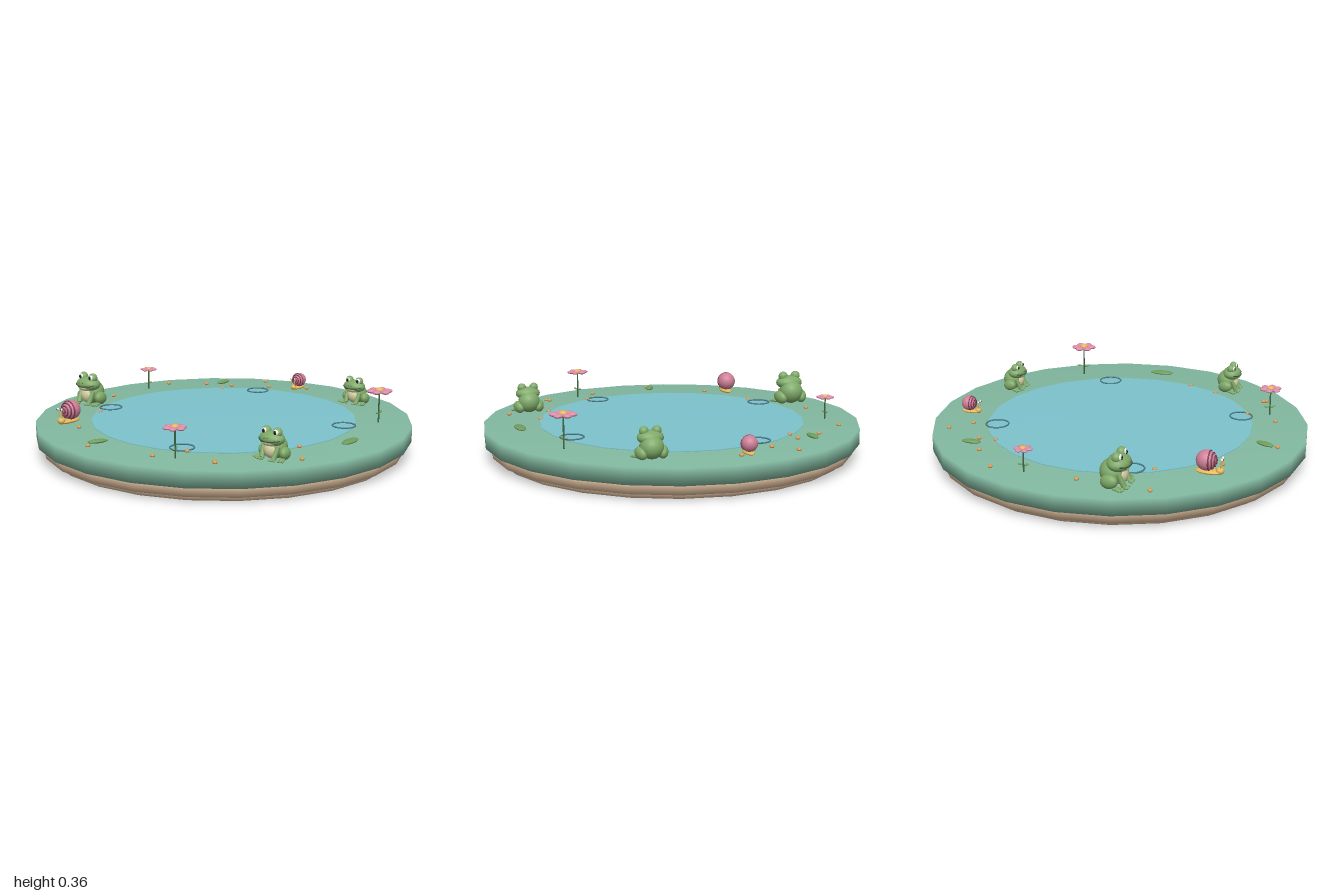
import * as THREE from 'three';
import { mergeVertices } from 'three/addons/utils/BufferGeometryUtils.js';

const paint = (color) => new THREE.MeshStandardMaterial({ color });
const M = {
  rim: paint(0x82b8a0), water: paint(0x7cc2cc), clay: paint(0xdcbc9c), frog: paint(0x7ea968),
  belly: paint(0xd5d3a4), white: paint(0xf4f2ea), black: paint(0x1c1c20), mouth: paint(0x35502f),
  petal: paint(0xdb8ca6), yellow: paint(0xe6b85a), stem: paint(0x3f6644), leaf: paint(0x6f9d5c),
  shell: paint(0xcf7f98), swirl: paint(0x7c3a52), pebble: paint(0xd59a55), ripple: paint(0x4d7f8c),
};
const TOP = 0.168;
const ball = new THREE.SphereGeometry(1, 18, 12);

function add(parent, name, geo, mat, pos = [0, 0, 0], rot = [0, 0, 0], scale = [1, 1, 1]) {
  const m = new THREE.Mesh(geo, mat);
  m.name = name;
  m.position.set(...pos);
  m.rotation.set(...rot);
  m.scale.set(...scale);
  parent.add(m);
  return m;
}
const blob = (parent, name, mat, pos, radii, rot) => add(parent, name, ball, mat, pos, rot, radii);

// Rod between two points
function rod(parent, name, mat, a, b, r0, r1 = r0) {
  const p = new THREE.Vector3(...a), q = new THREE.Vector3(...b), d = q.clone().sub(p);
  const m = add(parent, name, new THREE.CylinderGeometry(r1, r0, d.length(), 10), mat);
  m.position.copy(p).add(q).multiplyScalar(0.5);
  m.quaternion.setFromUnitVectors(new THREE.Vector3(0, 1, 0), d.normalize());
}

// 24-sided disc with normals blended over its rim
function disc(parent, name, mat, r, y0, y1) {
  const g = new THREE.CylinderGeometry(r, r, y1 - y0, 24);
  g.deleteAttribute('normal');
  g.deleteAttribute('uv');
  const s = mergeVertices(g);
  s.computeVertexNormals();
  add(parent, name, s, mat, [0, (y0 + y1) / 2, 0]);
}

function place(root, name, x, z, size, turn = 0) {
  const g = new THREE.Group();
  g.name = name;
  g.position.set(x, TOP, z);
  g.rotation.y = turn;
  g.scale.setScalar(size);
  root.add(g);
  return g;
}

// Sitting frog, one unit tall, facing +z
function frog(root, x, z, size) {
  const g = place(root, 'frog', x, z, size);
  blob(g, 'body', M.frog, [0, 0.36, -0.07], [0.38, 0.37, 0.36], [-0.3, 0, 0]);
  blob(g, 'belly', M.belly, [0, 0.3, 0.1], [0.26, 0.28, 0.25]);
  blob(g, 'head', M.frog, [0, 0.64, 0.1], [0.43, 0.23, 0.33]);
  blob(g, 'chin', M.belly, [0, 0.55, 0.18], [0.3, 0.13, 0.23]);
  // Wide smile wrapped around the head
  const smile = [];
  for (let i = 0; i <= 10; i++) {
    const a = (i / 10 - 0.5) * 2.3;
    smile.push(new THREE.Vector3(0.43 * Math.sin(a), 0.59 + 0.06 * Math.sin(a) ** 2, 0.1 + 0.325 * Math.cos(a)));
  }
  add(g, 'mouth', new THREE.TubeGeometry(new THREE.CatmullRomCurve3(smile), 24, 0.016, 6), M.mouth);
  for (const s of [-1, 1]) {
    blob(g, 'eyeBump', M.frog, [0.21 * s, 0.85, 0.1], [0.15, 0.15, 0.14]);
    blob(g, 'eyeball', M.white, [0.215 * s, 0.86, 0.16], [0.105, 0.105, 0.1]);
    blob(g, 'pupil', M.black, [0.215 * s, 0.86, 0.235], [0.055, 0.065, 0.035]);
    blob(g, 'nostril', M.mouth, [0.06 * s, 0.7, 0.415], [0.016, 0.016, 0.016]);
    blob(g, 'thigh', M.frog, [0.36 * s, 0.2, -0.07], [0.16, 0.2, 0.27], [-0.25, 0.3 * s, 0]);
    blob(g, 'hindFoot', M.frog, [0.42 * s, 0.05, 0.16], [0.1, 0.05, 0.18], [0, 0.4 * s, 0]);
    rod(g, 'arm', M.frog, [0.28 * s, 0.42, 0.16], [0.22 * s, 0.06, 0.31], 0.06, 0.085);
    for (const t of [-1, 0, 1]) {
      blob(g, 'frontToe', M.frog, [(0.22 + 0.07 * t) * s, 0.04, 0.37], [0.035, 0.035, 0.09], [0, 0.45 * t * s, 0]);
      blob(g, 'hindToe', M.frog, [(0.47 + 0.06 * t) * s, 0.035, 0.29 - 0.03 * t], [0.035, 0.035, 0.07], [0, (0.4 + 0.3 * t) * s, 0]);
    }
  }
}

// Snail with a round shell, shell radius one unit, facing +z
function snail(root, x, z, size) {
  const g = place(root, 'snail', x, z, size);
  blob(g, 'foot', M.yellow, [0, 0.25, 0.3], [0.6, 0.25, 1.35]);
  blob(g, 'head', M.yellow, [0, 0.42, 1.35], [0.4, 0.36, 0.4]);
  blob(g, 'shell', M.shell, [0, 1.36, 0], [1, 1, 1]);
  // Swirl rings on the front of the shell
  for (const r of [0.22, 0.5, 0.77, 0.94])
    add(g, 'shellSwirl', new THREE.TorusGeometry(r, 0.075, 8, 28), M.swirl, [0, 1.36, Math.sqrt(1 - r * r)]);
  for (const s of [-1, 1]) {
    rod(g, 'eyeStalk', M.yellow, [0.18 * s, 0.6, 1.4], [0.28 * s, 1.6, 1.55], 0.06);
    blob(g, 'eyeTip', M.white, [0.28 * s, 1.65, 1.55], [0.14, 0.14, 0.14]);
    blob(g, 'pupil', M.black, [0.28 * s, 1.65, 1.66], [0.07, 0.07, 0.05]);
  }
}

// Six-petalled flower on a thin stem
function flower(root, x, z, r, height, turn) {
  const g = place(root, 'flower', x, z, 1, turn);
  rod(g, 'stem', M.stem, [0, 0, 0], [0, height, 0], 0.004);
  for (const s of [-1, 1])
    blob(g, 'stemLeaf', M.leaf, [0, height * 0.32, 0.3 * r * s], [0.12 * r, 0.004, 0.28 * r], [-0.15 * s, 0, 0]);
  for (let i = 0; i < 6; i++) {
    const a = (i * Math.PI) / 3;
    blob(g, 'petal', M.petal, [0.63 * r * Math.sin(a), height, 0.63 * r * Math.cos(a)], [0.33 * r, 0.16 * r, 0.39 * r], [0, a, 0]);
  }
  blob(g, 'flowerCentre', M.yellow, [0, height + 0.08 * r, 0], [0.34 * r, 0.2 * r, 0.34 * r]);
}

export function createModel() {
  const root = new THREE.Group();
  root.name = 'frogPond';

  // Stepped base, bank and water
  disc(root, 'lowerBase', M.clay, 0.92, 0, 0.035);
  disc(root, 'upperBase', M.clay, 0.965, 0.03, 0.085);
  disc(root, 'bank', M.rim, 1, 0.083, TOP);
  disc(root, 'water', M.water, 0.707, 0.16, 0.173);

  // Ripples on the edge of the water
  const ripple = new THREE.TorusGeometry(0.06, 0.004, 6, 28);
  for (const [x, z] of [[-0.255, -0.605], [0.605, -0.255], [-0.605, 0.255], [0.255, 0.605]])
    add(root, 'ripple', ripple, M.ripple, [x, 0.176, z], [Math.PI / 2, 0, 0]);

  frog(root, -0.79, 0.23, 0.177);
  frog(root, 0.69, 0.44, 0.157);
  frog(root, 0.34, -0.75, 0.152);

  snail(root, -0.54, 0.605, 0.051);
  snail(root, -0.12, -0.83, 0.04);

  flower(root, 0.69, -0.45, 0.068, 0.17, 0.25);
  flower(root, 0.34, 0.745, 0.058, 0.15, 0.5);
  flower(root, -0.79, -0.235, 0.047, 0.12, 0.1);

  // Fallen leaves: x, z, half width, half length, turn
  for (const [x, z, w, l, turn] of [[-0.54, -0.625, 0.021, 0.052, 0.05], [0.82, 0, 0.027, 0.068, 0.06], [-0.12, 0.81, 0.021, 0.053, -0.42]])
    blob(root, 'groundLeaf', M.leaf, [x, 0.183, z], [w, 0.01, l], [0, turn, 0]);

  // Pebbles scattered over the bank
  const pebbles = [
    [-0.375, -0.83], [-0.075, -0.845], [-0.275, -0.735], [-0.465, -0.615], [-0.61, -0.55], [-0.46, -0.525], [-0.79, -0.41],
    [-0.805, 0.04], [-0.825, 0.41], [-0.58, 0.36], [-0.42, 0.66], [-0.12, 0.875], [0.24, 0.795], [0.31, 0.63],
    [0.525, 0.675], [0.54, 0.69], [0.59, 0.385], [0.81, 0.38], [0.67, 0.215],
  ];
  for (const [x, z] of pebbles) blob(root, 'pebble', M.pebble, [x, 0.174, z], [0.012, 0.009, 0.012]);

  return root;
}
